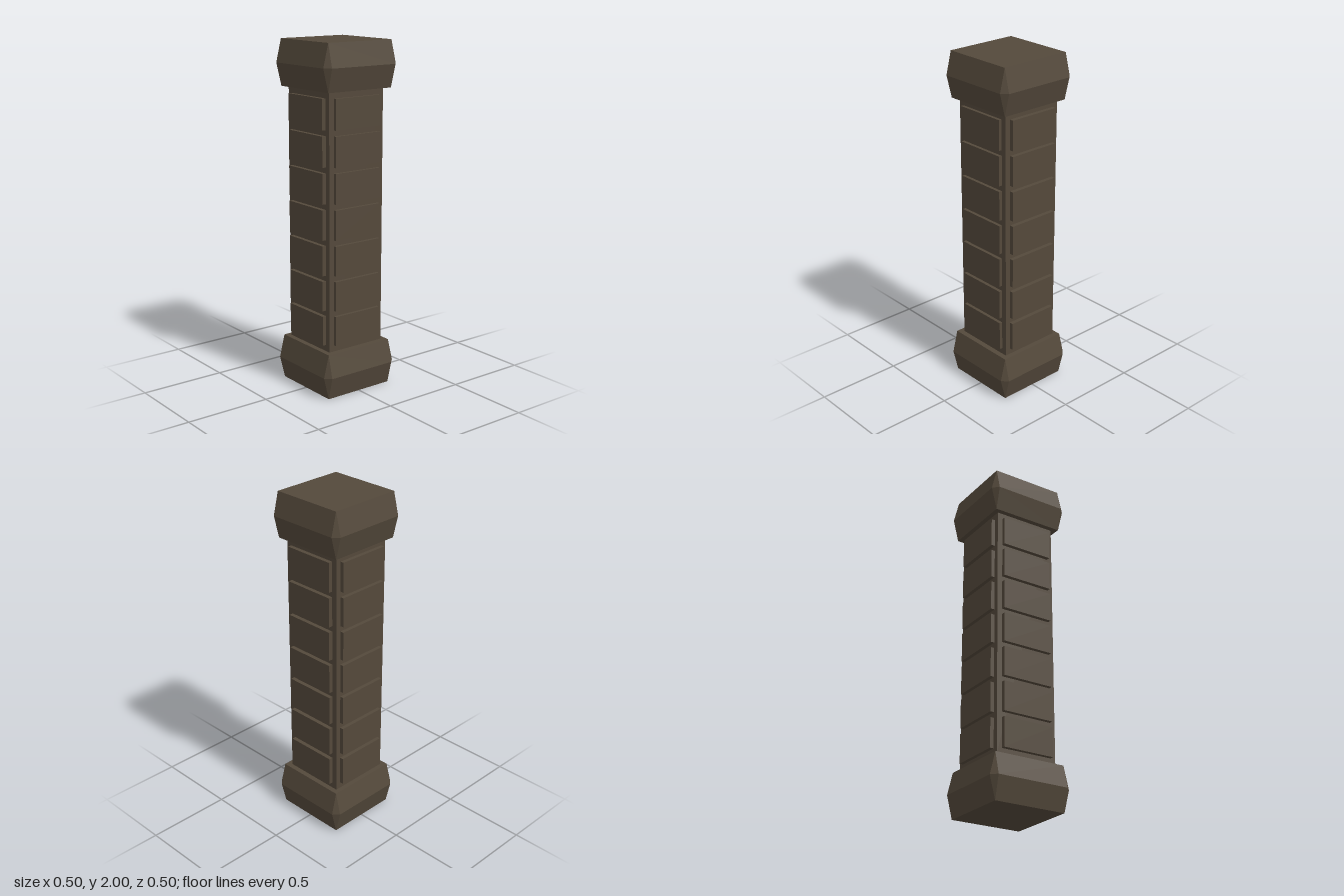
import * as THREE from 'three';
import { ConvexGeometry } from 'three/addons/geometries/ConvexGeometry.js';

const CORE = 0.187;         // half width of the shaft
const PANEL_W = 0.312, PANEL_H = 0.172, ROWS = 7, PITCH = 0.2045;

// Square block that bulges to a corner-cut ring at mid height
function blockGeometry(height) {
  const a = 0.217, b = 0.25, h = height / 2;
  const points = [];
  for (const sx of [-1, 1]) for (const sz of [-1, 1]) {
    points.push(
      new THREE.Vector3(sx * a, -h, sz * a),
      new THREE.Vector3(sx * a, h, sz * a),
      new THREE.Vector3(sx * b, 0, sz * a),
      new THREE.Vector3(sx * a, 0, sz * b)
    );
  }
  return new ConvexGeometry(points);
}

export function createModel() {
  const group = new THREE.Group();
  group.name = 'pillar';
  const stone = new THREE.MeshStandardMaterial({ color: 0x54493b, flatShading: true });
  stone.name = 'dark brown stone';

  const add = (parent, geometry, name, x, y, z) => {
    const mesh = new THREE.Mesh(geometry, stone);
    mesh.name = name;
    mesh.position.set(x, y, z);
    parent.add(mesh);
    return mesh;
  };

  // Base and capital
  const block = blockGeometry(0.264);
  add(group, block, 'base', 0, 0.132, 0);
  add(group, block, 'capital', 0, 1.868, 0);

  // Shaft
  add(group, new THREE.BoxGeometry(CORE * 2, 1.48, CORE * 2), 'shaft', -0.002, 1, 0);

  // Raised panels, one column on each side
  const sides = [
    ['front', 0, 0.211], ['right', -Math.PI / 2, 0.211],
    ['back', Math.PI, 0.211], ['left', Math.PI / 2, 0.204]
  ];
  for (const [side, angle, reach] of sides) {
    const column = new THREE.Group();
    column.name = side + 'Panels';
    column.rotation.y = angle;
    const depth = reach - CORE + 0.02;
    const panel = new THREE.BoxGeometry(PANEL_W, PANEL_H, depth);
    for (let i = 0; i < ROWS; i++) {
      add(column, panel, side + 'Panel' + (i + 1), 0, 0.387 + i * PITCH, reach - depth / 2);
    }
    if (side === 'front' || side === 'back') column.position.x = -0.002;
    group.add(column);
  }
  return group;
}
